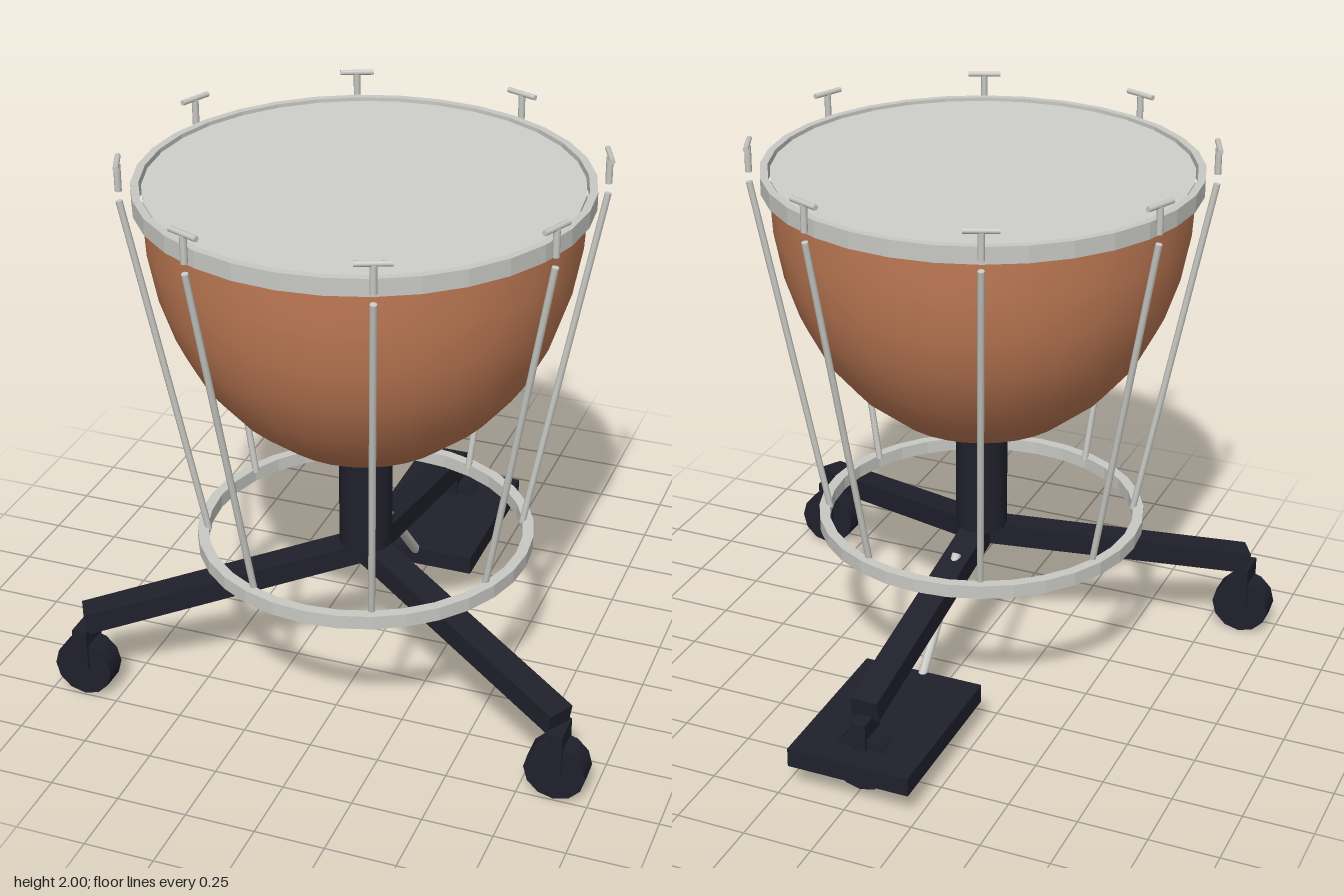
import * as THREE from 'three';

const CZ = 0.19; // z of the drum's axis

export function createModel() {
  const root = new THREE.Group();
  root.name = 'kettledrum';
  const mat = (name, color) => {
    const m = new THREE.MeshStandardMaterial({ color });
    m.name = name;
    return m;
  };
  const copper = mat('copper', 0xc47d57);
  const metal = mat('silver metal', 0xc8c8c4);
  const skin = mat('drum skin', 0xcfcfcb);
  const dark = mat('dark iron', 0x20202c);

  const add = (name, geo, material, x = 0, y = 0, z = 0, parent = root) => {
    const m = new THREE.Mesh(geo, material);
    m.name = name;
    m.position.set(x, y, z);
    parent.add(m);
    return m;
  };
  const V = (x, y, z) => new THREE.Vector3(x, y, z);

  // Round bar between two points
  const bar = (name, a, b, r, material, parent = root) => {
    const d = b.clone().sub(a);
    const m = add(name, new THREE.CylinderGeometry(r, r, d.length(), 8), material, 0, 0, 0, parent);
    m.position.copy(a).add(b).multiplyScalar(0.5);
    m.quaternion.setFromUnitVectors(V(0, 1, 0), d.normalize());
    return m;
  };

  // Faceted flat ring with a rectangular section
  const ring = (name, inner, outer, y0, y1) => {
    const pts = [[outer, y0], [outer, y1], [inner, y1], [inner, y0], [outer, y0]]
      .map(([r, y]) => new THREE.Vector2(r, y));
    const geo = new THREE.LatheGeometry(pts, 32).toNonIndexed();
    geo.computeVertexNormals();
    return add(name, geo, metal, 0, 0, CZ);
  };

  // Bowl, skin and hoops
  const profile = [[0, 0.915], [0.1, 0.92], [0.33, 1.01], [0.465, 1.12], [0.57, 1.245], [0.65, 1.4],
    [0.7, 1.55], [0.732, 1.72], [0.742, 1.9]].map(([r, y]) => new THREE.Vector2(r, y));
  add('bowl', new THREE.LatheGeometry(profile, 32), copper, 0, 0, CZ);
  add('drumHead', new THREE.CylinderGeometry(0.735, 0.735, 0.02, 32), skin, 0, 1.9, CZ);
  ring('topHoop', 0.743, 0.77, 1.86, 1.92);
  ring('lowerRing', 0.562, 0.6, 0.54, 0.59);

  // Eight tension rods with T-shaped tuning keys
  for (let i = 0; i < 8; i++) {
    const g = new THREE.Group();
    g.name = 'tensionRod' + (i + 1);
    g.position.z = CZ;
    g.rotation.y = (i + 0.5) * Math.PI / 4;
    bar('rod', V(0.56, 0.58, 0), V(0.81, 1.855, 0), 0.012, metal, g);
    bar('keyStem', V(0.81, 1.89, 0), V(0.81, 1.985, 0), 0.012, metal, g);
    bar('keyHandle', V(0.81, 1.99, -0.06), V(0.81, 1.99, 0.06), 0.01, metal, g);
    root.add(g);
  }

  // Central column
  add('column', new THREE.CylinderGeometry(0.095, 0.095, 0.4, 20), dark, 0, 0.72, CZ);

  // Three sloping legs, each ending in a caster
  const reach = 1.015, drop = 0.2;
  [Math.PI / 6, Math.PI * 5 / 6, -Math.PI / 2].forEach((a, i) => {
    const x = Math.cos(a) * reach, z = CZ + Math.sin(a) * reach;
    const pivot = new THREE.Group();
    pivot.name = 'leg' + (i + 1);
    pivot.position.set(0, 0.5, CZ);
    pivot.rotation.y = -a;
    const beam = add('legBeam', new THREE.BoxGeometry(Math.hypot(reach, drop), 0.08, 0.1), dark,
      reach / 2, -drop / 2, 0, pivot);
    beam.rotation.z = -Math.atan2(drop, reach);
    root.add(pivot);

    add('casterFork', new THREE.BoxGeometry(0.055, 0.16, 0.115), dark, x, 0.195, z);
    const wheel = add('casterWheel', new THREE.CylinderGeometry(0.108, 0.108, 0.09, 12), dark, x, 0.112, z);
    wheel.rotation.x = Math.PI / 2;
  });

  // Tuning pedal and its link
  add('pedal', new THREE.BoxGeometry(0.45, 0.07, 0.63), dark, 0, 0.137, -0.655);
  bar('pedalLink', V(0, 0.16, -0.35), V(0, 0.5, -0.04), 0.018, metal);

  return root;
}
